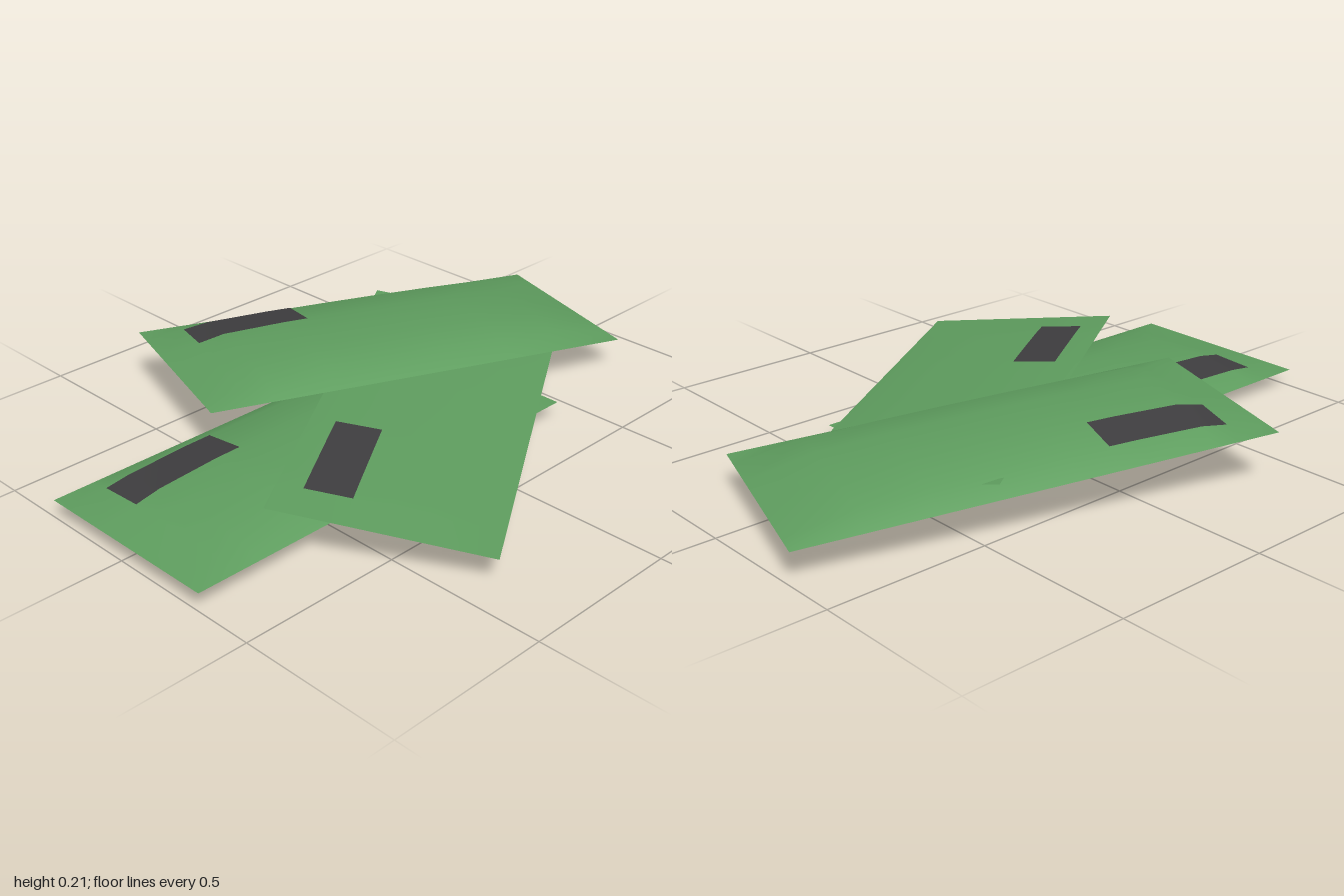
import * as THREE from 'three';
import { mergeGeometries } from 'three/addons/utils/BufferGeometryUtils.js';

// Half-profiles of the bulge: [distance from the centre, share of full height]
const lengthProfile = (end) => [[0, 1], [0.1, 1], [0.3, 0.96], [0.5, end], [0.702, 0]];
const WIDTH = [[0, 1], [0.11, 1], [0.235, 0.7], [0.31, 0]];

// Grid lines; they include the borders of the dark patch
const U = [-0.702, -0.58, -0.5, -0.3, -0.215, -0.1, 0.1, 0.3, 0.5, 0.702];
const V = [-0.31, -0.235, -0.1, 0, 0.11, 0.235, 0.31];

function share(profile, value) {
  const d = Math.abs(value);
  for (let i = 1; i < profile.length; i++) {
    const [d0, s0] = profile[i - 1], [d1, s1] = profile[i];
    if (d <= d1 + 1e-6) return s0 + (s1 - s0) * (d - d0) / (d1 - d0);
  }
  return 0;
}

// One bulged face over the given grid lines; negative height faces down
function bulge(us, vs, height, end, lift = 0) {
  const profile = lengthProfile(end);
  const pos = [], index = [];
  for (const u of us) {
    for (const v of vs) pos.push(u, height * share(profile, u) * share(WIDTH, v) + lift, v);
  }
  const n = vs.length;
  for (let i = 0; i < us.length - 1; i++) {
    for (let j = 0; j < n - 1; j++) {
      const a = i * n + j, b = a + 1, c = a + n, d = c + 1;
      if (height > 0) index.push(a, b, c, b, d, c);
      else index.push(a, c, b, b, c, d);
    }
  }
  const geo = new THREE.BufferGeometry();
  geo.setAttribute('position', new THREE.Float32BufferAttribute(pos, 3));
  geo.setIndex(index);
  geo.computeVertexNormals();
  return geo;
}

export function createModel() {
  const model = new THREE.Group();
  model.name = 'pillowPile';
  const green = new THREE.MeshStandardMaterial({ color: 0x5f9e5f });
  const dark = new THREE.MeshStandardMaterial({ color: 0x3f3e40, side: THREE.DoubleSide });

  // Each pillow: centre, direction of its length, direction of its width,
  // bulge above, bulge below and fullness towards the ends
  const pillows = [
    ['bottomPillow', [-0.297, 0.056, 0.01], [1, 0, 0], [0, 0, 1], 0.052, 0.055, 0.72],
    ['middlePillow', [0.025, 0.122, 0.141], [1.18, 0, -0.764], [0.33, -0.075, 0.52], 0.012, 0.012, 0.72],
    ['topPillow', [0.235, 0.139, -0.268], [1.33, -0.08, 0.435], [-0.19, 0.01, 0.59], 0.055, 0.057, 0.82],
  ];
  for (const [name, centre, along, across, above, below, end] of pillows) {
    const x = new THREE.Vector3(...along).normalize();
    const y = new THREE.Vector3(...across).cross(x).normalize();
    const z = new THREE.Vector3().crossVectors(x, y);
    const pillow = new THREE.Group();
    pillow.name = name;
    pillow.quaternion.setFromRotationMatrix(new THREE.Matrix4().makeBasis(x, y, z));
    pillow.position.set(...centre);

    // Top and bottom stay unwelded so the seam is sharp
    const faces = [bulge(U, V, above, end), bulge(U, V, -below, end)];
    const cushion = new THREE.Mesh(mergeGeometries(faces), green);
    cushion.name = 'cushion';
    const patch = new THREE.Mesh(bulge(U.slice(1, 5), V.slice(1, 3), above, end, 0.002), dark);
    patch.name = 'darkPatch';
    pillow.add(cushion, patch);
    model.add(pillow);
  }
  return model;
}
